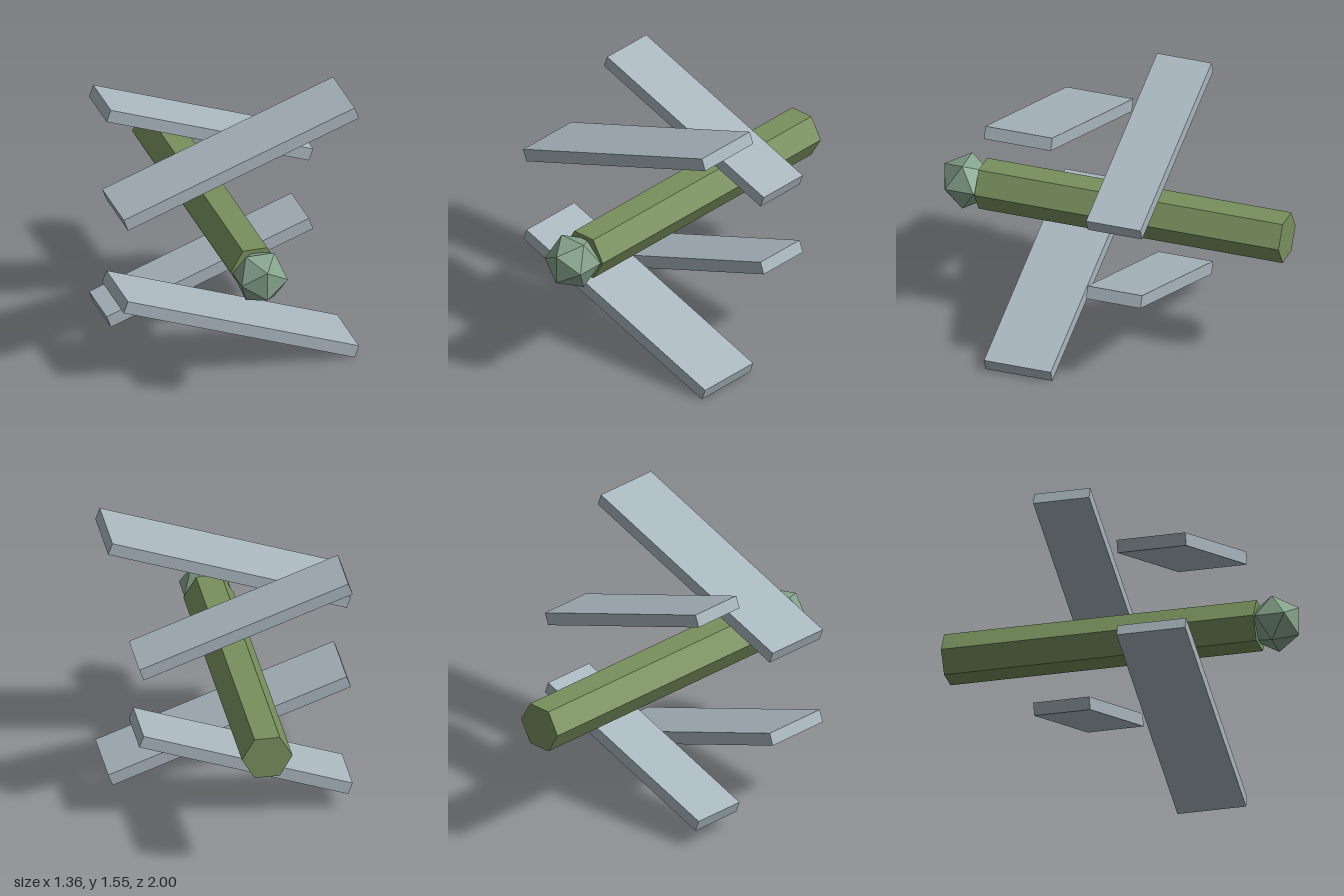
import * as THREE from 'three';

const material = (name, color) => {
  const m = new THREE.MeshStandardMaterial({ color, flatShading: true });
  m.name = name;
  return m;
};

export function createModel() {
  const green = material('leafGreen', 0x78905d);
  const sage = material('sageGreen', 0x85a38b);
  const grey = material('wingGrey', 0xa8b6bd);
  const model = new THREE.Group();
  model.name = 'dragonfly';
  const axisY = 0.777;

  const add = (name, geometry, mat, x, y, z) => {
    const mesh = new THREE.Mesh(geometry, mat);
    mesh.name = name;
    mesh.position.set(x, y, z);
    model.add(mesh);
    return mesh;
  };

  // Hexagonal body lying along z, flat sides up and down
  const body = new THREE.CylinderGeometry(0.1414, 0.1414, 1.775, 6);
  body.rotateY(Math.PI / 6).rotateX(Math.PI / 2).rotateZ(Math.PI / 6);
  // Turn so that two edges point to the sides
  body.computeBoundingBox();
  if (body.boundingBox.max.x < 0.13) body.rotateZ(Math.PI / 6);
  add('body', body, green, 0, axisY, -0.1125);

  // Faceted head
  add('head', new THREE.IcosahedronGeometry(0.157, 0), sage, 0, axisY, 0.866);

  // Crossed wing blades, mirrored above and below the body
  const pairs = [
    { name: 'front', length: 1.42, depth: 0.39, z: 0.333, offset: 0.497, tilt: 20 },
    { name: 'rear', length: 1.244, depth: 0.318, z: -0.198, offset: 0.426, tilt: -20 },
  ];
  for (const p of pairs) {
    for (const side of [1, -1]) {
      const wing = add(`${p.name}${side > 0 ? 'Upper' : 'Lower'}Wing`,
        new THREE.BoxGeometry(p.length, 0.072, p.depth), grey,
        0, axisY + side * p.offset, p.z);
      wing.rotation.z = side * THREE.MathUtils.degToRad(p.tilt);
    }
  }
  return model;
}
